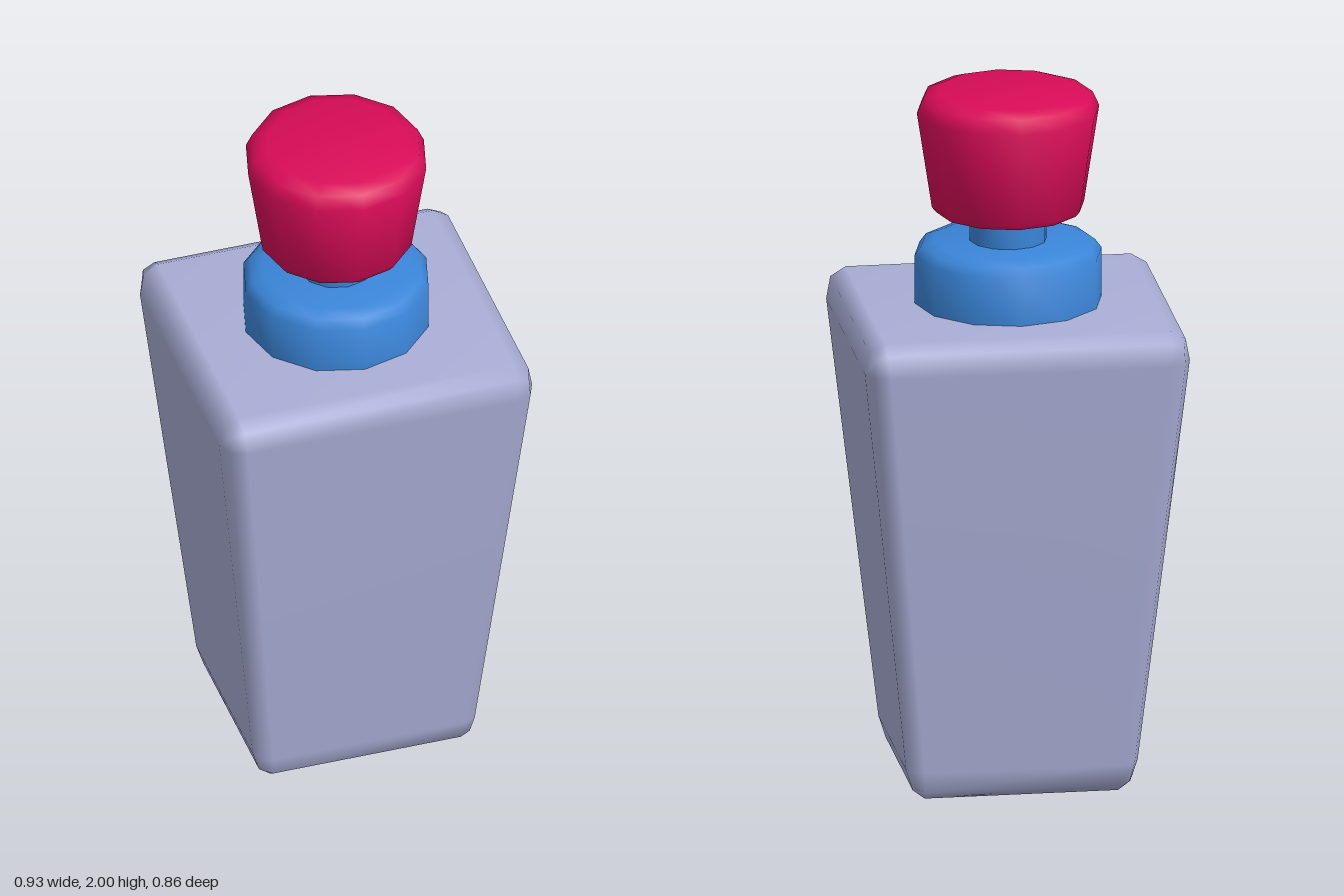
import * as THREE from 'three';
import { RoundedBoxGeometry } from 'three/addons/geometries/RoundedBoxGeometry.js';
import { mergeVertices, toCreasedNormals } from 'three/addons/utils/BufferGeometryUtils.js';

const lavender = new THREE.MeshStandardMaterial({ color: 0xaaaed6 });
const blue = new THREE.MeshStandardMaterial({ color: 0x3a85d8 });
const crimson = new THREE.MeshStandardMaterial({ color: 0xd90c58 });

// Twelve-sided turned part from [radius, height] pairs, bottom to top
function turned(name, profile, material) {
  const points = profile.map(([r, y]) => new THREE.Vector2(r, y));
  const geometry = toCreasedNormals(new THREE.LatheGeometry(points, 12), 0.9);
  const mesh = new THREE.Mesh(geometry, material);
  mesh.name = name;
  return mesh;
}

// Bevelled box that narrows towards its base
function taperedBody() {
  const height = 1.385, radius = 0.065, stretch = 1.38;
  let geometry = new RoundedBoxGeometry(0.926, height / stretch, 0.86, 1, radius);
  geometry.scale(1, stretch, 1);
  geometry.translate(0, height / 2, 0);
  const p = geometry.attributes.position;
  for (let i = 0; i < p.count; i++) {
    const s = 0.713 + 0.287 * (p.getY(i) - 0.09) / (1.295 - 0.09);
    p.setX(i, p.getX(i) * s);
    p.setZ(i, p.getZ(i) * s);
  }
  // Weld the seams so the bevels shade smoothly
  geometry.deleteAttribute('normal');
  geometry.deleteAttribute('uv');
  geometry = mergeVertices(geometry, 1e-4);
  geometry.computeVertexNormals();
  const mesh = new THREE.Mesh(geometry, lavender);
  mesh.name = 'body';
  return mesh;
}

export function createModel() {
  const model = new THREE.Group();
  model.name = 'bottle';
  model.add(
    taperedBody(),
    turned('collar', [[0, 1.37], [0.267, 1.37], [0.267, 1.525], [0.248, 1.55], [0.21, 1.563], [0, 1.563]], blue),
    turned('neck', [[0.11, 1.55], [0.11, 1.66]], blue),
    turned('cap', [
      [0, 1.65], [0.205, 1.65], [0.217, 1.665], [0.26, 1.945],
      [0.242, 1.985], [0.2, 2], [0, 2],
    ], crimson),
  );
  return model;
}
